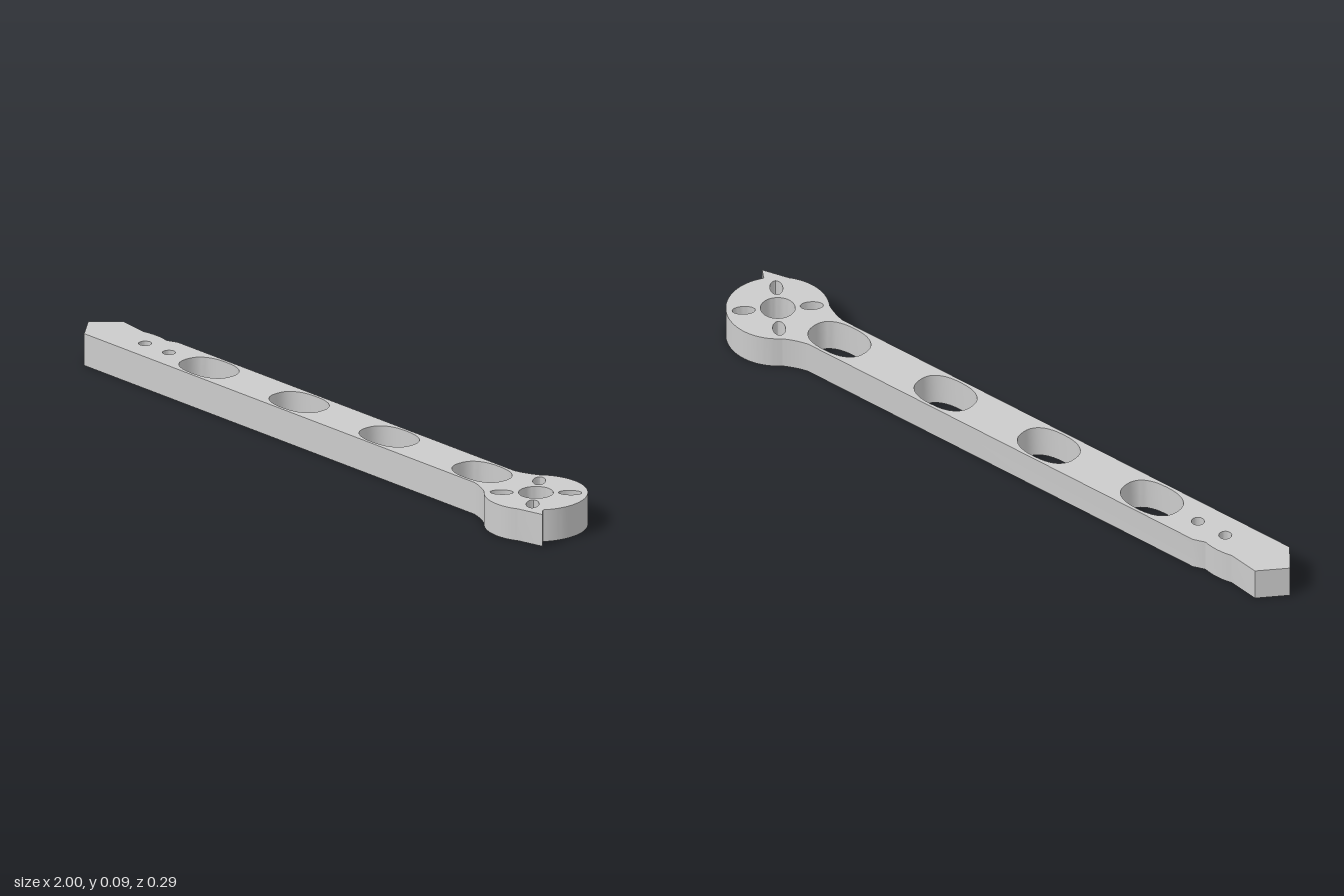
import * as THREE from 'three';
import { toCreasedNormals } from 'three/addons/utils/BufferGeometryUtils.js';

const THICK = 0.093, HALF = 0.073;
const HUB_X = 0.853, HUB_R = 0.143;

// Closed superellipse hole, optionally rotated
function hole(cx, cy, rx, ry, power = 2, turn = 0, n = 40) {
  const pts = [];
  for (let i = 0; i < n; i++) {
    const a = (i / n) * Math.PI * 2, c = Math.cos(a), s = Math.sin(a);
    const p = new THREE.Vector2(
      rx * Math.sign(c) * Math.abs(c) ** (2 / power),
      ry * Math.sign(s) * Math.abs(s) ** (2 / power));
    pts.push(p.rotateAround(new THREE.Vector2(), turn).add(new THREE.Vector2(cx, cy)));
  }
  return new THREE.Path(pts);
}

// Plan outline: pointed end, straight bar, round hub with a small spur
function armOutline() {
  const rad = THREE.MathUtils.degToRad;
  const s = new THREE.Shape();
  s.moveTo(-1, 0);
  // back edge with its shallow scalloped notch
  s.lineTo(-0.935, HALF);
  s.lineTo(-0.84, 0.06);
  s.quadraticCurveTo(-0.79, 0.072, -0.745, 0.06);
  s.lineTo(-0.71, HALF);
  s.lineTo(0.68, HALF);
  s.quadraticCurveTo(0.715, 0.08, HUB_X + HUB_R * Math.cos(rad(135)), HUB_R * Math.sin(rad(135)));
  // hub rim and spur
  s.absarc(HUB_X, 0, HUB_R, rad(135), rad(-34), true);
  s.lineTo(1, -0.106);
  s.absarc(HUB_X, 0, HUB_R, rad(-62), rad(-135), true);
  // front edge
  s.quadraticCurveTo(0.715, -0.08, 0.68, -HALF);
  s.lineTo(-0.935, -HALF);
  s.closePath();
  return s;
}

export function createModel() {
  const group = new THREE.Group();
  group.name = 'motorArm';
  const shape = armOutline();

  // lightening slots along the bar
  for (const x of [-0.5, -0.127, 0.246, 0.63]) shape.holes.push(hole(x, 0, 0.094, 0.064, 2.4));
  // bolt holes near the pointed end
  for (const x of [-0.765, -0.666]) shape.holes.push(hole(x, 0, 0.018, 0.018, 2, 0, 24));
  // shaft hole and four radial screw slots in the hub
  shape.holes.push(hole(HUB_X, 0, 0.048, 0.048));
  for (const sx of [-1, 1]) for (const sy of [-1, 1]) {
    shape.holes.push(hole(HUB_X + sx * 0.064, sy * 0.069, 0.032, 0.018, 2, sx * sy * Math.PI / 4, 24));
  }

  const extruded = new THREE.ExtrudeGeometry(shape, { depth: THICK, bevelEnabled: false, curveSegments: 28 });
  extruded.rotateX(-Math.PI / 2);
  const arm = new THREE.Mesh(toCreasedNormals(extruded, 0.45), new THREE.MeshStandardMaterial({ color: 0xcccccc }));
  arm.name = 'armPlate';
  group.add(arm);
  return group;
}
